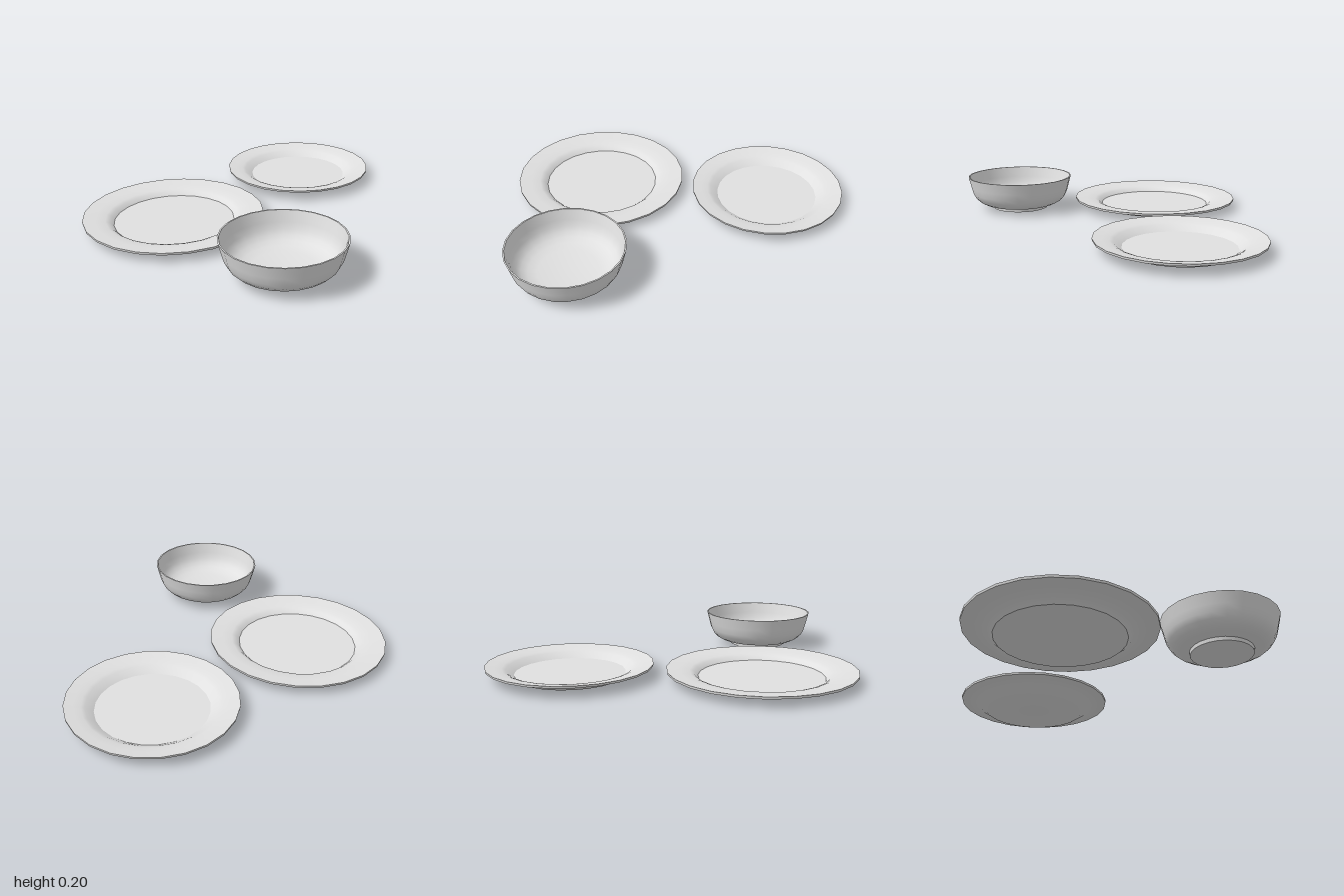
import * as THREE from 'three';
import { toCreasedNormals } from 'three/addons/utils/BufferGeometryUtils.js';

const SIDES = 24;

// Profiles run [radius, height]: under the base, up the outside, back down the inside.
const LARGE_PLATE = [
  [0, 0], [0.345, 0], [0.375, 0.023], [0.44, 0.035], [0.508, 0.045], [0.51, 0.058],
  [0.44, 0.05], [0.385, 0.043], [0.362, 0.035], [0.34, 0.014], [0, 0.014],
];
const SMALL_PLATE = [
  [0, 0], [0.3, 0], [0.358, 0.038], [0.405, 0.046], [0.453, 0.055], [0.455, 0.067],
  [0.405, 0.058], [0.365, 0.051], [0.345, 0.044], [0.302, 0.014], [0, 0.014],
];
const BOWL = [
  [0, 0], [0.17, 0], [0.173, 0.02], [0.225, 0.03], [0.258, 0.047], [0.282, 0.07],
  [0.298, 0.1], [0.309, 0.14], [0.325, 0.203], [0.317, 0.203],
  [0.3, 0.14], [0.289, 0.105], [0.272, 0.078], [0.248, 0.058], [0.215, 0.043],
  [0.165, 0.034], [0, 0.03],
];

export function createModel() {
  const group = new THREE.Group();
  const ceramic = new THREE.MeshStandardMaterial({ color: 0xe0e0e0 });
  ceramic.name = 'ceramic';

  // Turned dish with soft curves and crisp rim and foot edges
  const addDish = (name, profile, x, z) => {
    const points = profile.map(([r, y]) => new THREE.Vector2(r, y));
    const geometry = toCreasedNormals(new THREE.LatheGeometry(points, SIDES), 0.6);
    const mesh = new THREE.Mesh(geometry, ceramic);
    mesh.name = name;
    mesh.position.set(x, 0, z);
    group.add(mesh);
  };

  addDish('dinnerPlate', LARGE_PLATE, -0.49, -0.342);
  addDish('sidePlate', SMALL_PLATE, 0.545, -0.342);
  addDish('bowl', BOWL, -0.49, 0.525);
  return group;
}
